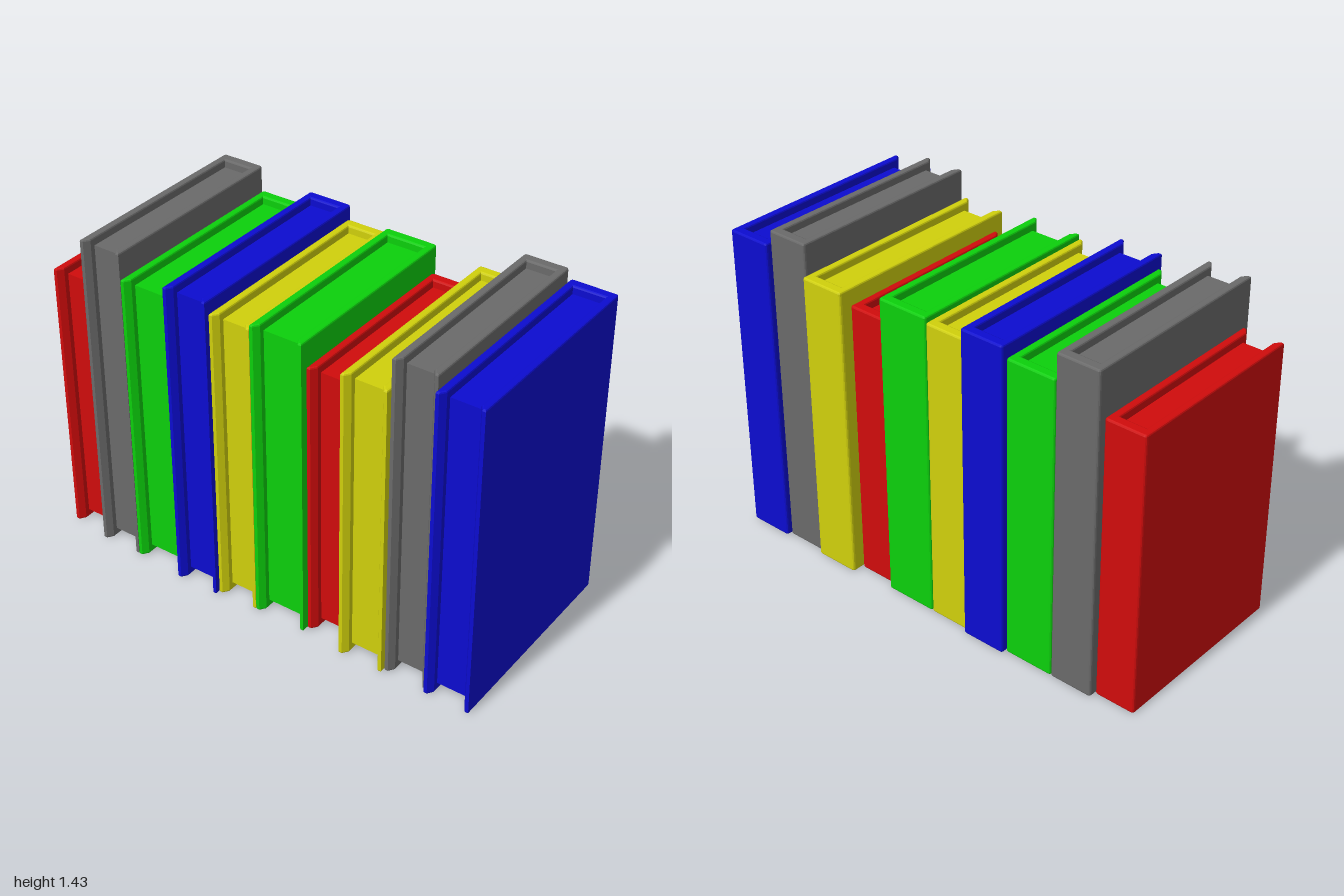
import * as THREE from 'three';

const COLORS = { blue: 0x0c0cd0, grey: 0x6a6a6a, yellow: 0xd0d00c, red: 0xd00c0c, green: 0x0cd00c };

// [colour, front z, back z, height, fore-edge x, spine x]
const BOOKS = [
  ['blue', 1.0, 0.8, 1.375, -0.47, 0.465],
  ['grey', 0.798, 0.609, 1.43, -0.45, 0.445],
  ['yellow', 0.605, 0.406, 1.3, -0.47, 0.465],
  ['red', 0.402, 0.223, 1.23, -0.42, 0.415],
  ['green', 0.221, -0.012, 1.34, -0.45, 0.445],
  ['yellow', -0.014, -0.199, 1.32, -0.45, 0.445],
  ['blue', -0.201, -0.399, 1.375, -0.47, 0.465],
  ['green', -0.401, -0.624, 1.32, -0.45, 0.445],
  ['grey', -0.626, -0.818, 1.43, -0.45, 0.445],
  ['red', -0.82, -1.0, 1.23, -0.42, 0.415],
];

const COVER = 0.032, SPINE = 0.045, BEVEL = 0.007, RECESS = 0.035;

// U-shaped case: two boards with tapered fore-edges, joined by a spine
function caseGeometry(x0, x1, depth, height) {
  const h = depth / 2, inner = h - COVER, r = 0.012;
  const shape = new THREE.Shape();
  shape.moveTo(x0, -h);
  shape.lineTo(x1 - r, -h);
  shape.quadraticCurveTo(x1, -h, x1, -h + r);
  shape.lineTo(x1, h - r);
  shape.quadraticCurveTo(x1, h, x1 - r, h);
  shape.lineTo(x0, h);
  shape.lineTo(x0, h - 0.015);
  shape.lineTo(x0 + 0.025, inner);
  shape.lineTo(x1 - SPINE, inner);
  shape.lineTo(x1 - SPINE, -inner);
  shape.lineTo(x0 + 0.025, -inner);
  shape.lineTo(x0, -h + 0.015);
  shape.closePath();
  const geo = new THREE.ExtrudeGeometry(shape, {
    depth: height - 2 * BEVEL, curveSegments: 3,
    bevelThickness: BEVEL, bevelSize: BEVEL, bevelOffset: -BEVEL, bevelSegments: 2,
  });
  geo.rotateX(-Math.PI / 2);
  geo.translate(0, BEVEL, 0);
  return geo;
}

function makeBook([colorName, zFront, zBack, height, x0, x1]) {
  const book = new THREE.Group();
  book.name = colorName + 'Book';
  const material = new THREE.MeshStandardMaterial({ color: COLORS[colorName] });
  const depth = zFront - zBack;

  const cover = new THREE.Mesh(caseGeometry(x0, x1, depth, height), material);
  cover.name = 'cover';

  // Page block set back from the top, bottom and fore-edge
  const left = x0 + 0.045, right = x1 - SPINE + 0.012;
  const pages = new THREE.Mesh(
    new THREE.BoxGeometry(right - left, height - 2 * RECESS, depth - COVER * 2 + 0.012), material);
  pages.name = 'pages';
  pages.position.set((left + right) / 2, height / 2, 0);

  book.add(cover, pages);
  book.position.z = (zFront + zBack) / 2;
  return book;
}

export function createModel() {
  const row = new THREE.Group();
  row.name = 'bookRow';
  for (const spec of BOOKS) row.add(makeBook(spec));
  return row;
}
